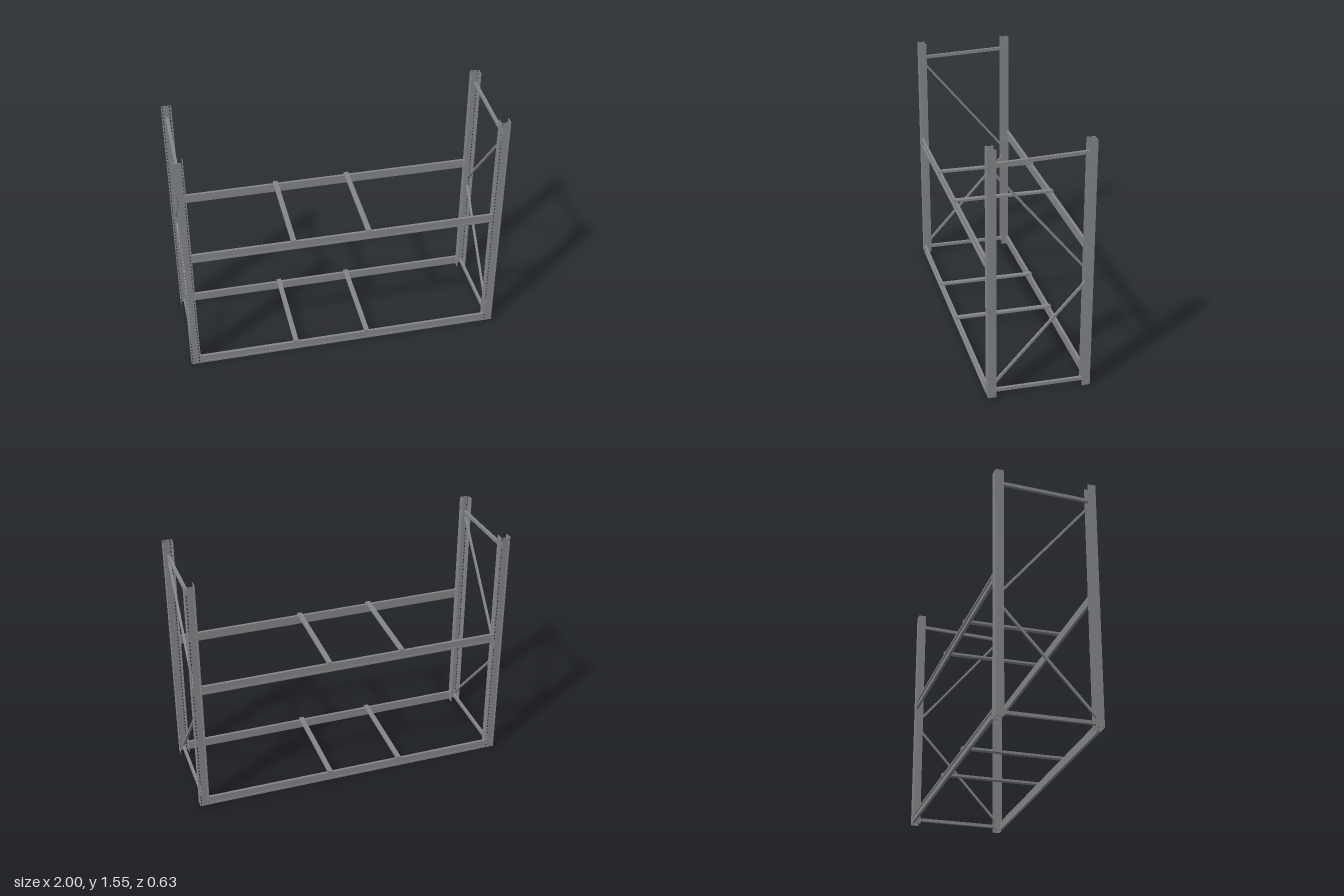
import * as THREE from 'three';

const H = 1.555;        // upright height
const T = 0.003;        // sheet thickness
const steel = new THREE.MeshStandardMaterial({ color: 0x858689 });
steel.name = 'greySteel';

function mesh(name, geo, x = 0, y = 0, z = 0) {
  const m = new THREE.Mesh(geo, steel);
  m.name = name;
  m.position.set(x, y, z);
  return m;
}
const box = (name, w, h, d, x, y, z) => mesh(name, new THREE.BoxGeometry(w, h, d), x, y, z);

// Flat web of an upright, with two columns of slots
function perforatedWeb(width) {
  const s = new THREE.Shape();
  s.moveTo(-width / 2, 0).lineTo(width / 2, 0).lineTo(width / 2, H).lineTo(-width / 2, H).closePath();
  const hw = 0.0035, hh = 0.007;
  for (let y = 0.02; y < H - 0.01; y += 0.025) {
    for (const x of [-0.0215, 0.0215]) {
      const p = new THREE.Path();
      p.moveTo(x - hw, y - hh).lineTo(x - hw, y + hh).lineTo(x + hw, y + hh).lineTo(x + hw, y - hh).closePath();
      s.holes.push(p);
    }
  }
  return new THREE.ExtrudeGeometry(s, { depth: T, bevelEnabled: false });
}

// Lipped channel beam running along x, open towards +z
function beamGeometry(length, h, d, lip) {
  const pts = [
    [0, 0], [d, 0], [d, lip], [d - T, lip], [d - T, T], [T, T],
    [T, h - T], [d - T, h - T], [d - T, h - lip], [d, h - lip], [d, h], [0, h],
  ];
  const s = new THREE.Shape(pts.map(([z, y]) => new THREE.Vector2(-z, y)));
  const g = new THREE.ExtrudeGeometry(s, { depth: length, bevelEnabled: false });
  g.translate(0, 0, -length / 2);
  g.rotateY(Math.PI / 2);
  return g;
}

// Bar in the plane of an end frame, between two (z, y) points
function brace(name, x, z0, y0, z1, y1, thick, width) {
  const m = box(name, width, thick, Math.hypot(z1 - z0, y1 - y0), x, (y0 + y1) / 2, (z0 + z1) / 2);
  m.rotation.x = -Math.atan2(y1 - y0, z1 - z0);
  return m;
}

export function createModel() {
  const rack = new THREE.Group();
  rack.name = 'storageRack';
  const web = perforatedWeb(0.06);
  const beam = beamGeometry(1.876, 0.057, 0.017, 0.013);

  // End frames: two channel uprights, open towards each other, and their bracing
  for (const sx of [-1, 1]) {
    const frame = new THREE.Group();
    frame.name = sx > 0 ? 'leftFrame' : 'rightFrame';
    for (const sz of [-1, 1]) {
      const upright = new THREE.Group();
      upright.name = sz > 0 ? 'frontUpright' : 'backUpright';
      upright.add(mesh('web', web, 0, 0, 0.307));
      for (const s of [-1, 1]) {
        upright.add(box('flange', T, H, 0.048, s * 0.0285, H / 2, 0.284));
      }
      upright.position.x = sx * 0.969;
      upright.rotation.y = sz > 0 ? 0 : Math.PI;
      frame.add(upright);
    }
    const x = sx * 0.97;
    frame.add(
      brace('topBrace', x, 0.285, 1.456, -0.285, 1.479, 0.02, 0.018),
      brace('upperDiagonal', x, 0.28, 1.423, -0.28, 0.752, 0.014, 0.014),
      brace('lowerDiagonal', x, -0.28, 0.688, 0.28, 0.066, 0.014, 0.014),
      brace('bottomBrace', x, 0.285, 0.034, -0.285, 0.034, 0.02, 0.018),
    );
    rack.add(frame);
  }

  // Two shelf levels: front and back beams, end connectors and cross bars
  for (const [name, y] of [['lowerLevel', 0.003], ['upperLevel', 0.826]]) {
    const level = new THREE.Group();
    level.name = name;
    level.position.y = y;
    for (const sz of [-1, 1]) {
      const side = new THREE.Group();
      side.name = sz > 0 ? 'frontBeam' : 'backBeam';
      side.add(mesh('channel', beam, 0, 0, 0.296));
      for (const sx of [-1, 1]) {
        side.add(box('connector', T, 0.06, 0.045, sx * 0.9375, 0.03, 0.291));
      }
      side.rotation.y = sz > 0 ? 0 : Math.PI;
      level.add(side);
    }
    for (const x of [-0.32, 0.147]) {
      level.add(box('crossBar', 0.031, 0.014, 0.63, x, 0.063, 0));
    }
    rack.add(level);
  }
  return rack;
}
